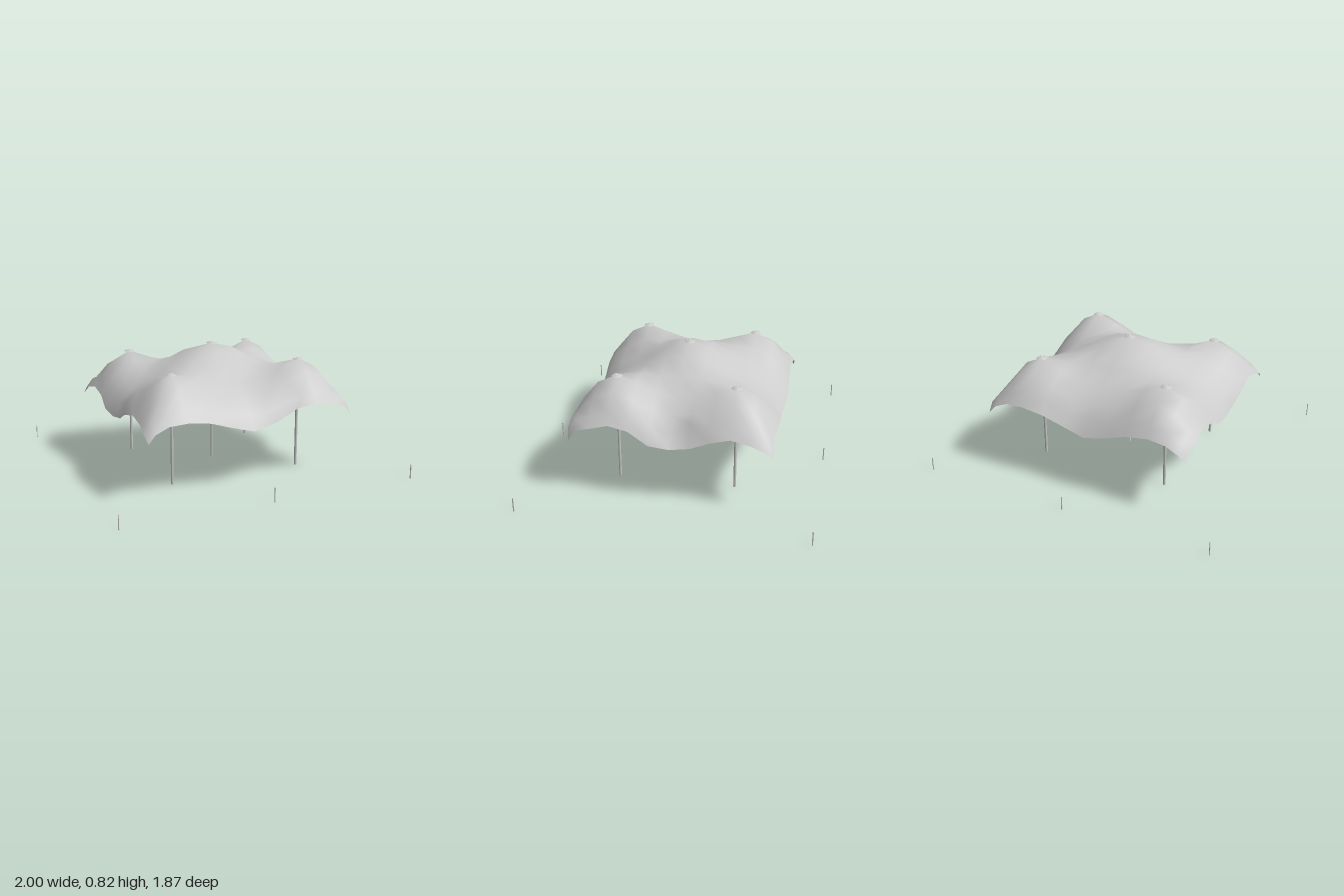
import * as THREE from 'three';

// Canopy heights for one quadrant: rows run from the middle to the hem in z, columns in x.
const XS = [0, 0.15, 0.3, 0.45, 0.57, 0.66, 0.71];
const ZS = [0, 0.13, 0.26, 0.385, 0.51, 0.6, 0.65];
const HEIGHTS = [
  [0.81, 0.77, 0.69, 0.62, 0.55, 0.47, 0.38],
  [0.77, 0.75, 0.69, 0.64, 0.58, 0.50, 0.40],
  [0.69, 0.68, 0.67, 0.68, 0.61, 0.53, 0.46],
  [0.61, 0.62, 0.66, 0.72, 0.66, 0.55, 0.49],
  [0.54, 0.55, 0.60, 0.66, 0.61, 0.52, 0.46],
  [0.46, 0.48, 0.53, 0.55, 0.52, 0.49, 0.43],
  [0.37, 0.41, 0.46, 0.48, 0.47, 0.43, 0.38],
];

// Creases in the cloth: grid column, grid row, then the shift in x, y, z.
const CREASES = [
  [5, -1, -0.06, 0.02, 0.02],
  [5, 0, -0.03, -0.02, 0],
  [2, 5, 0.08, -0.01, -0.02],
  [0, 4, 0, 0.02, -0.03],
  [1, 5, -0.03, -0.01, -0.01],
  [0, -5, 0, 0.02, 0.03],
  [1, -5, -0.01, -0.02, 0.02],
];

function canopyPoint(i, j) {
  const a = Math.abs(i), b = Math.abs(j);
  const p = new THREE.Vector3(Math.sign(i) * XS[a], HEIGHTS[b][a], Math.sign(j) * ZS[b]);
  // the hem is wavy and a little higher on the front left corner
  if (a === 6) p.x += 0.008 * Math.sin(j * 2.1 + i);
  if (b === 6) p.z += 0.007 * Math.sin(i * 1.7 + j);
  if (i > 1 && j > 1) p.y += a < 6 || b < 6 ? 0.02 : 0;
  for (const [ci, cj, dx, dy, dz] of CREASES) {
    if (ci === i && cj === j) p.add(new THREE.Vector3(dx, dy, dz));
  }
  return p;
}

function canopyGeometry() {
  const geometry = new THREE.PlaneGeometry(1, 1, 12, 12);
  const pos = geometry.attributes.position;
  for (let k = 0; k < pos.count; k++) {
    const p = canopyPoint((k % 13) - 6, Math.floor(k / 13) - 6);
    pos.setXYZ(k, p.x, p.y, p.z);
  }
  geometry.computeVertexNormals();
  return geometry;
}

export function createModel() {
  const group = new THREE.Group();
  const grey = new THREE.MeshStandardMaterial({ color: 0xcccccc, side: THREE.DoubleSide });
  grey.name = 'cloth grey';

  const add = (name, geometry, x, y, z) => {
    const mesh = new THREE.Mesh(geometry, grey);
    mesh.name = name;
    mesh.position.set(x, y, z);
    group.add(mesh);
    return mesh;
  };

  add('canopy', canopyGeometry(), 0, 0, 0);

  // Poles with a six-sided cap on top of the cloth
  const addCap = (x, y, z) => {
    add('poleCap', new THREE.CylinderGeometry(0.022, 0.038, 0.008, 6), x, y, z);
    add('poleTip', new THREE.ConeGeometry(0.02, 0.012, 6), x, y + 0.006, z);
  };
  for (const sx of [-1, 1]) {
    for (const sz of [-1, 1]) {
      const top = sx > 0 && sz > 0 ? 0.735 : 0.718;
      add('cornerPole', new THREE.CylinderGeometry(0.009, 0.009, top, 6), sx * 0.45, top / 2, sz * 0.385);
      addCap(sx * 0.45, top + 0.003, sz * 0.385);
    }
  }
  add('centrePole', new THREE.BoxGeometry(0.007, 0.81, 0.018), 0, 0.405, 0);
  addCap(0, 0.813, 0);

  // Ground pegs along the front and back
  for (const x of [-0.998, 0, 0.998]) {
    for (const z of [-0.932, 0.932]) {
      add('peg', new THREE.BoxGeometry(0.004, 0.095, 0.007), x, 0.0475, z);
    }
  }
  return group;
}
